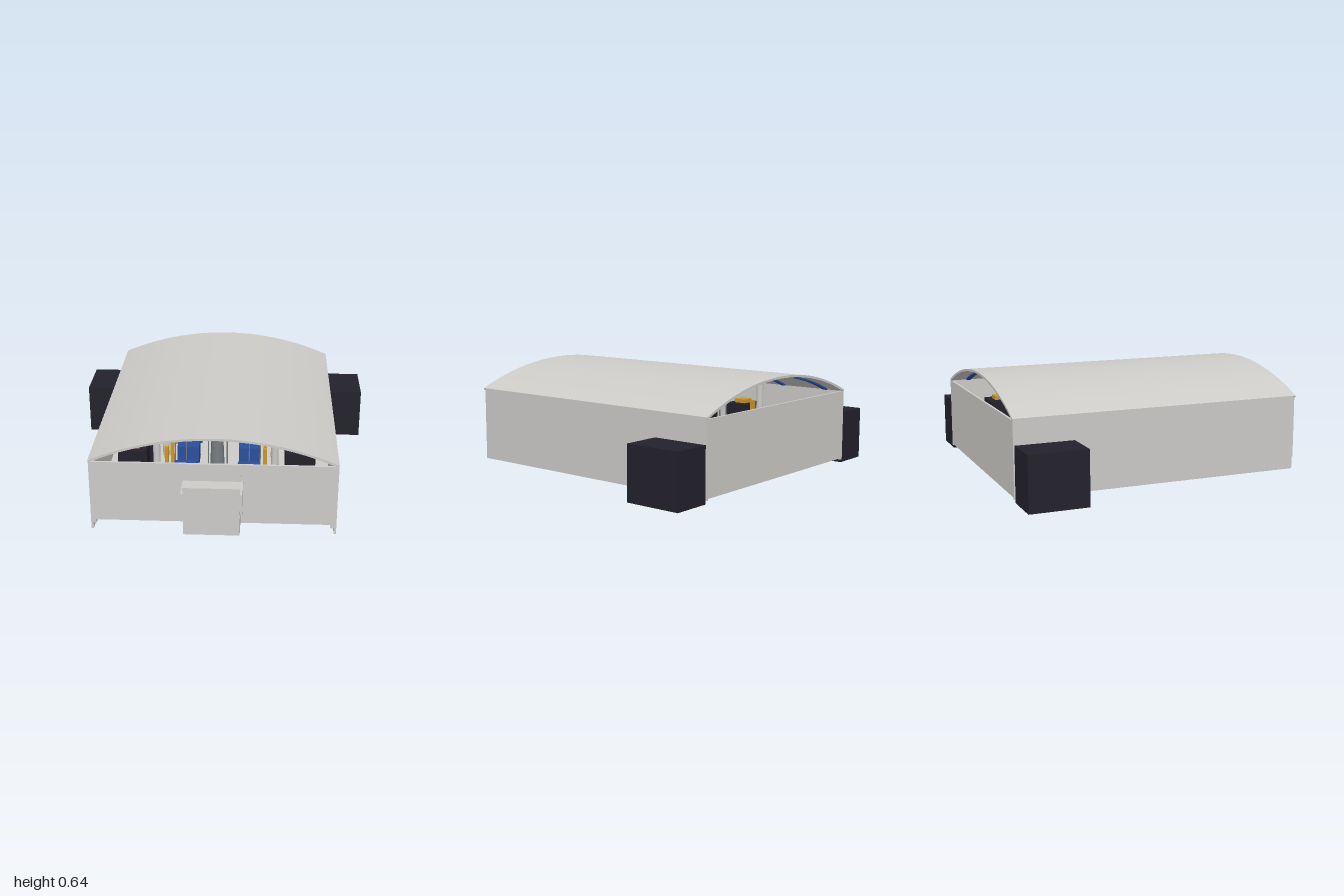
import * as THREE from 'three';

const mat = (name, color) => {
  const m = new THREE.MeshStandardMaterial({ color });
  m.name = name;
  return m;
};

export function createModel() {
  const model = new THREE.Group();
  model.name = 'archRoofHall';
  const shell = mat('warm light grey', 0xcdcbc8);
  const dark = mat('dark navy', 0x22212c);
  const slate = mat('slate grey', 0x757c80);
  const black = mat('near black', 0x2b2a2a);
  const blue = mat('blue', 0x2a4f9c);
  const gold = mat('gold', 0xc8962c);

  const add = (name, geo, material, x = 0, y = 0, z = 0) => {
    const mesh = new THREE.Mesh(geo, material);
    mesh.name = name;
    mesh.position.set(x, y, z);
    model.add(mesh);
    return mesh;
  };
  // Box given by its lower and upper limits on each axis
  const box = (name, m, x0, x1, y0, y1, z0, z1) =>
    add(name, new THREE.BoxGeometry(x1 - x0, y1 - y0, z1 - z0), m,
      (x0 + x1) / 2, (y0 + y1) / 2, (z0 + z1) / 2);

  // Curved band following the roof, between two radii
  const R = 1.797, centreY = 0.636 - R;
  const arch = (name, m, outer, inner, halfWidth, z0, z1) => {
    const a = Math.asin(halfWidth / R);
    const s = new THREE.Shape();
    s.absarc(0, centreY, outer, Math.PI / 2 - a, Math.PI / 2 + a, false);
    s.absarc(0, centreY, inner, Math.PI / 2 + a, Math.PI / 2 - a, true);
    const geo = new THREE.ExtrudeGeometry(s, { depth: z1 - z0, bevelEnabled: false, curveSegments: 40 });
    return add(name, geo, m, 0, 0, z0);
  };

  // Roof and the blue ribs below it
  arch('roof', shell, R, R - 0.014, 0.73, -1, 0.82);
  for (let i = 0; i < 6; i++) {
    const z = -0.9 + i * 0.32;
    arch('roofRib', blue, R - 0.014, R - 0.024, 0.7, z, z + 0.03);
  }

  // Outer walls
  for (const s of [-1, 1]) {
    const x0 = s > 0 ? 0.716 : -0.73;
    box('sideWall', shell, x0, x0 + 0.014, 0.02, 0.482, -1, 0.805);
    const b = s > 0 ? 0.698 : -0.716;
    box('wallBracket', shell, b, b + 0.018, 0.055, 0.09, 0.74, 0.8);
  }
  box('frontWall', shell, -0.716, 0.716, 0.09, 0.472, 0.805, 0.82);
  box('frontDoor', shell, -0.165, 0.165, 0.09, 0.472, 0.82, 0.824);
  box('backWall', shell, -0.716, 0.716, 0.03, 0.472, -1, -0.986);

  // Floor, and the lower rear bay
  box('floor', shell, -0.716, 0.716, 0.086, 0.1, -0.63, 0.805);
  box('rearBay', slate, -0.716, 0.716, 0.037, 0.1, -0.986, -0.635);
  box('rearBayUnderside', black, -0.716, 0.716, 0.025, 0.037, -0.986, -0.635);

  // Rear side blocks
  for (const s of [-1, 1]) {
    box('sideBlock', dark, s > 0 ? 0.73 : -0.97, s > 0 ? 0.97 : -0.73, 0, 0.33, -0.992, -0.635);
  }

  // Entrance box on the front
  box('entranceBase', shell, -0.163, 0.163, 0.1, 0.24, 0.82, 0.985);
  box('entranceTop', shell, -0.177, 0.177, 0.24, 0.365, 0.82, 0.99);
  box('entrancePlate', shell, -0.163, 0.163, 0.24, 0.41, 0.989, 1);

  // Columns with flared heads
  const column = new THREE.LatheGeometry([
    [0.022, 0.1], [0.022, 0.5], [0.035, 0.55], [0.035, 0.582],
  ].map(([r, y]) => new THREE.Vector2(r, y)), 16);
  for (const x of [-0.36, 0.36]) {
    for (const z of [-0.6, -0.05, 0.5]) add('column', column, shell, x, 0, z);
  }

  // Thin ceiling hangers
  for (const x of [-0.27, -0.2, -0.06, 0.06, 0.2, 0.27]) {
    for (const z of [-0.4, 0.25]) {
      add('hanger', new THREE.CylinderGeometry(0.004, 0.004, 0.5, 6), slate, x, 0.35, z);
    }
  }

  // Rows of equipment: cabinets, gold frames and blue benches
  for (const s of [-1, 1]) {
    for (let i = 0; i < 4; i++) {
      const z = -0.8 + i * 0.36, x = s * 0.52;
      box('cabinet', dark, x - 0.09, x + 0.09, 0.1, 0.36, z, z + 0.16);
      box('cabinetTop', gold, x - 0.04, x + 0.04, 0.36, 0.385, z + 0.04, z + 0.12);
      box('bench', blue, s * 0.2 - 0.07, s * 0.2 + 0.07, 0.1, 0.24, z + 0.03, z + 0.2);
      box('goldPost', gold, s * 0.3 - 0.012, s * 0.3 + 0.012, 0.1, 0.42, z + 0.2, z + 0.224);
    }
  }

  // Central stand with a blue dome
  add('domeStand', new THREE.CylinderGeometry(0.035, 0.05, 0.36, 20), slate, 0, 0.28, 0.3);
  add('dome', new THREE.SphereGeometry(0.036, 20, 8, 0, Math.PI * 2, 0, Math.PI / 2), blue, 0, 0.455, 0.3);

  return model;
}
